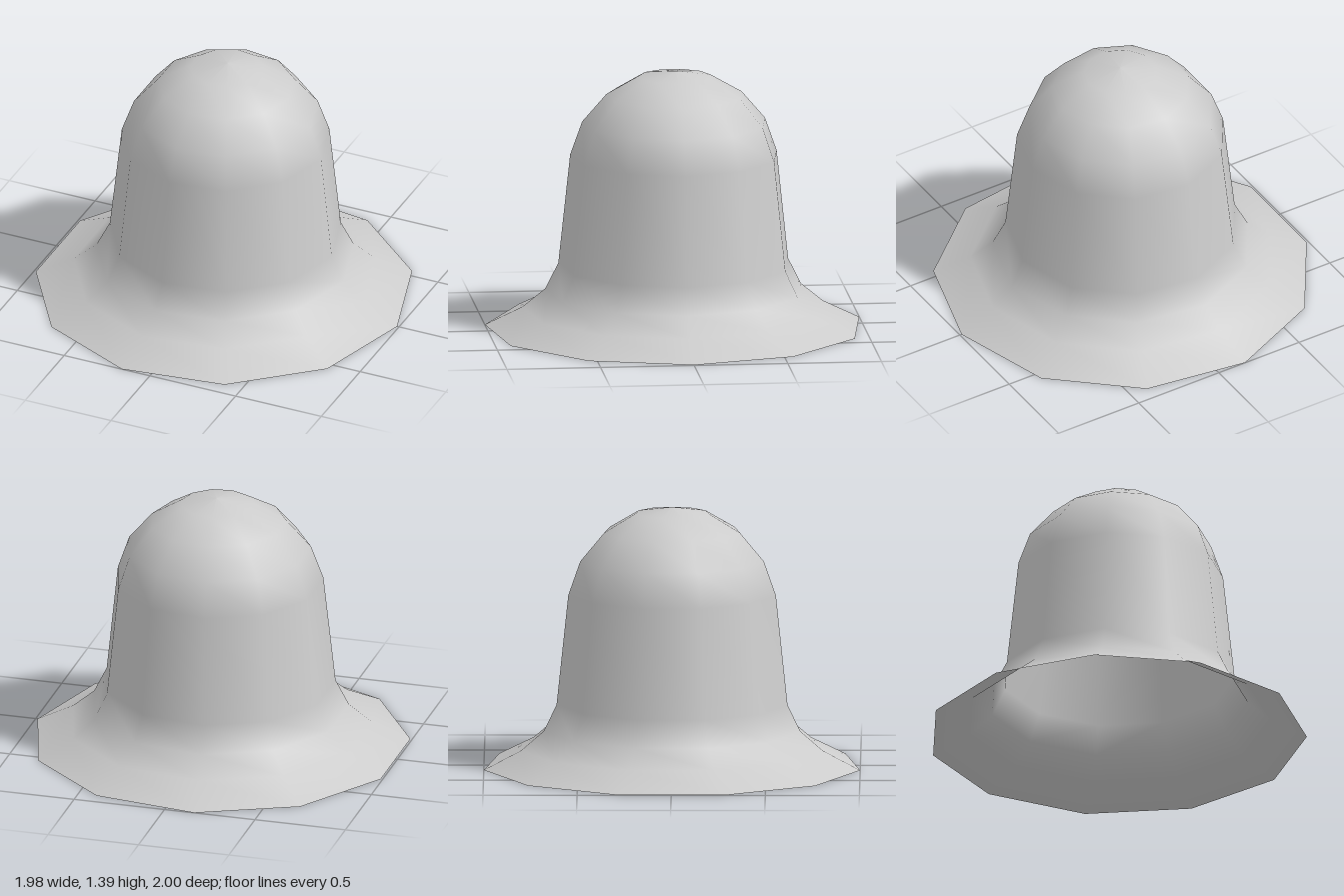
import * as THREE from 'three';

export function createModel() {
  const group = new THREE.Group();

  // Silhouette from the brim edge up to the crown: [radius, height]
  const profile = [
    [1.01, 0], [0.81, 0.1], [0.69, 0.2], [0.62, 0.34], [0.557, 0.93],
    [0.493, 1.11], [0.365, 1.26], [0.195, 1.36], [0, 1.39],
  ].map(([r, y]) => new THREE.Vector2(r, y));

  // Eleven-sided open shell with one corner pointing to +x
  const sides = 11;
  const geometry = new THREE.LatheGeometry(profile, sides, Math.PI / 2);

  // Centre every ring on its own width, since the odd side count is uneven in x
  const shift = (1 - Math.cos(Math.PI / sides)) / 2;
  const pos = geometry.attributes.position;
  for (let i = 0; i < pos.count; i++) {
    const r = Math.hypot(pos.getX(i), pos.getZ(i));
    pos.setX(i, pos.getX(i) - shift * r);
  }

  const material = new THREE.MeshStandardMaterial({ color: 0xcccccc, side: THREE.DoubleSide });
  const shell = new THREE.Mesh(geometry, material);
  shell.name = 'flaredDomeShell';
  group.add(shell);
  return group;
}
